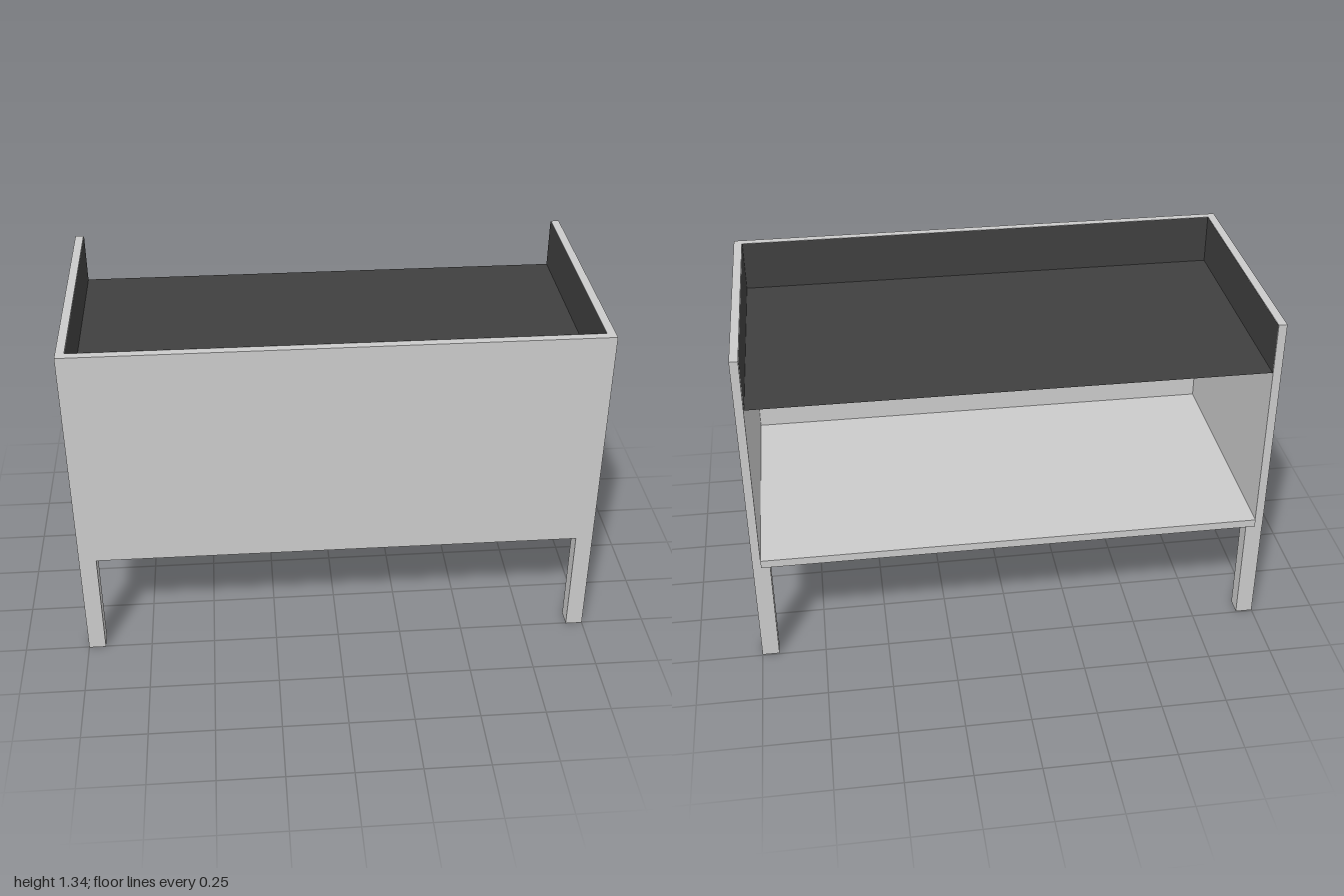
import * as THREE from 'three';

export function createModel() {
  const model = new THREE.Group();
  const grey = new THREE.MeshStandardMaterial({ color: 0xcccccc });
  const dark = new THREE.MeshStandardMaterial({ color: 0x404040, side: THREE.DoubleSide });

  const BOTTOM = 0.436, TOP = 1.335, LINER = 1.136;
  const T = 0.032, LEG = 0.066, FRONT = 0.503, BACK = -0.498;
  const INNER_X = 1 - T, INNER_Z = FRONT - T;

  // Box given by its extents along each axis
  function box(name, [x0, x1], [y0, y1], [z0, z1]) {
    const mesh = new THREE.Mesh(new THREE.BoxGeometry(x1 - x0, y1 - y0, z1 - z0), grey);
    mesh.position.set((x0 + x1) / 2, (y0 + y1) / 2, (z0 + z1) / 2);
    mesh.name = name;
    model.add(mesh);
  }

  // Thin dark sheet
  function sheet(name, w, h, position, rotation) {
    const mesh = new THREE.Mesh(new THREE.PlaneGeometry(w, h), dark);
    mesh.position.set(...position);
    mesh.rotation.set(...rotation);
    mesh.name = name;
    model.add(mesh);
  }

  // Carcass, open at the back and top
  box('frontPanel', [-INNER_X, INNER_X], [BOTTOM, TOP], [INNER_Z, FRONT]);
  box('leftPanel', [INNER_X, 1], [BOTTOM, TOP], [BACK, FRONT]);
  box('rightPanel', [-1, -INNER_X], [BOTTOM, TOP], [BACK, FRONT]);
  box('basePanel', [-INNER_X, INNER_X], [BOTTOM, BOTTOM + T], [-0.503, INNER_Z]);

  // Shelf board, set in from the back edge of the worktop
  box('shelfBoard', [-INNER_X, INNER_X], [LINER - 0.002 - T, LINER - 0.002], [-0.42, INNER_Z]);

  // Dark worktop and lining of the walls above it
  const gap = 0.002, linerH = TOP - LINER, linerY = (TOP + LINER) / 2;
  const depth = INNER_Z - BACK, midZ = (INNER_Z + BACK) / 2;
  sheet('worktop', 2 * INNER_X, depth, [0, LINER, midZ], [-Math.PI / 2, 0, 0]);
  sheet('frontLining', 2 * INNER_X, linerH, [0, linerY, INNER_Z - gap], [0, Math.PI, 0]);
  for (const [name, s] of [['leftLining', 1], ['rightLining', -1]]) {
    sheet(name, depth, linerH, [s * (INNER_X - gap), linerY, midZ], [0, -s * Math.PI / 2, 0]);
  }

  // Square legs at the four corners
  for (const [side, x] of [['Left', 1 - LEG], ['Right', -1]]) {
    for (const [end, z] of [['front', FRONT - LEG], ['back', BACK + 0.002]]) {
      box(end + side + 'Leg', [x, x + LEG], [0, BOTTOM], [z, z + LEG]);
    }
  }
  return model;
}
